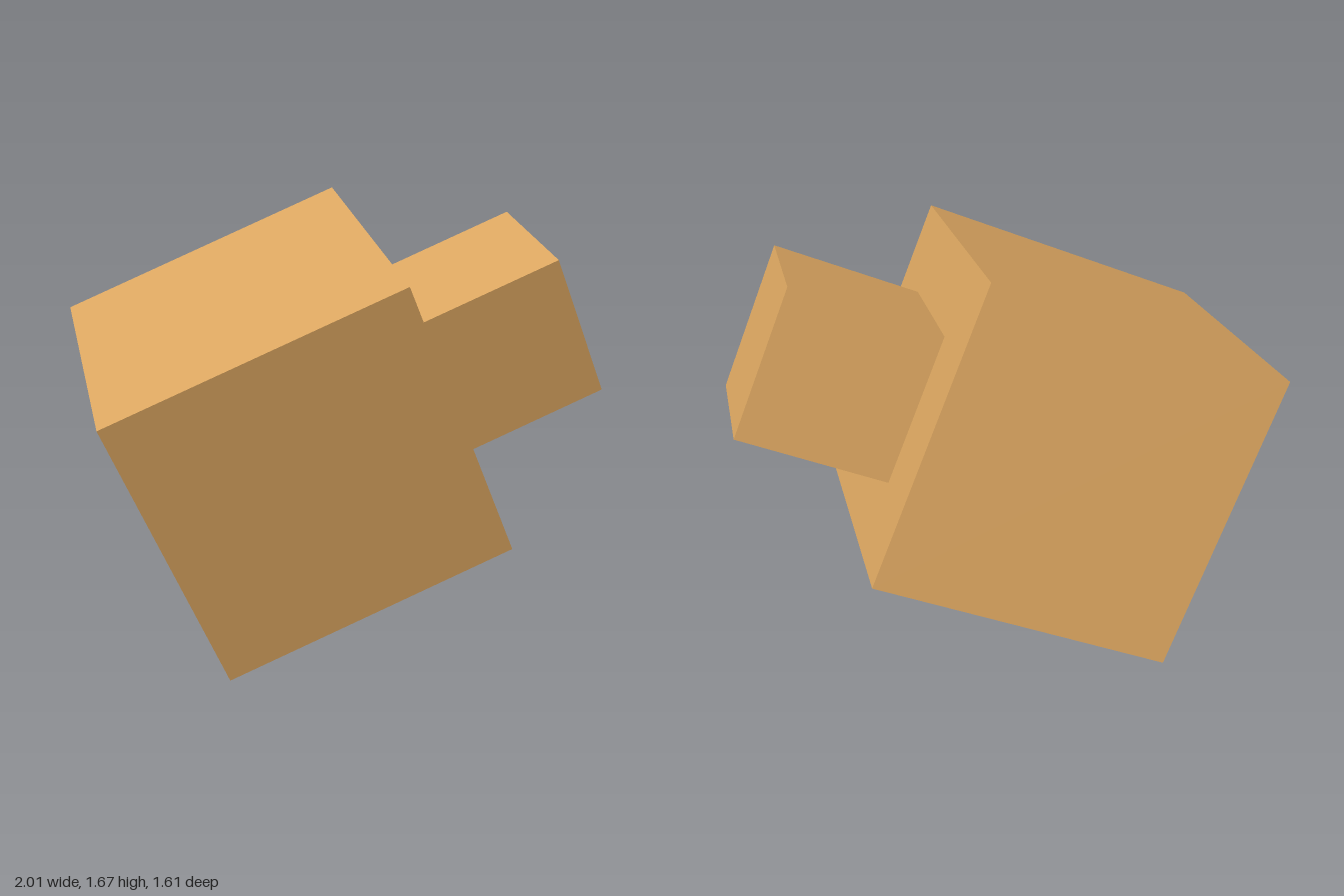
import * as THREE from 'three';

export function createModel() {
  const model = new THREE.Group();
  model.name = 'tiltedCubes';
  const material = new THREE.MeshStandardMaterial({ color: 0xd9a45f });
  const size = 1.103;

  function addCube(name, edge, x) {
    const cube = new THREE.Mesh(new THREE.BoxGeometry(edge, edge, edge), material);
    cube.name = name;
    cube.position.x = x;
    tilted.add(cube);
  }

  // Both cubes share one tilt
  const tilted = new THREE.Group();
  tilted.name = 'tiltedBody';
  tilted.rotation.set(0.236, 0.325, 0.35);
  tilted.position.set(-0.156, 0.837, 0);
  model.add(tilted);

  // Large cube, with a half-size cube resting on the middle of its +x face
  addCube('largeCube', size, 0);
  addCube('smallCube', size / 2, size * 0.75);

  return model;
}
